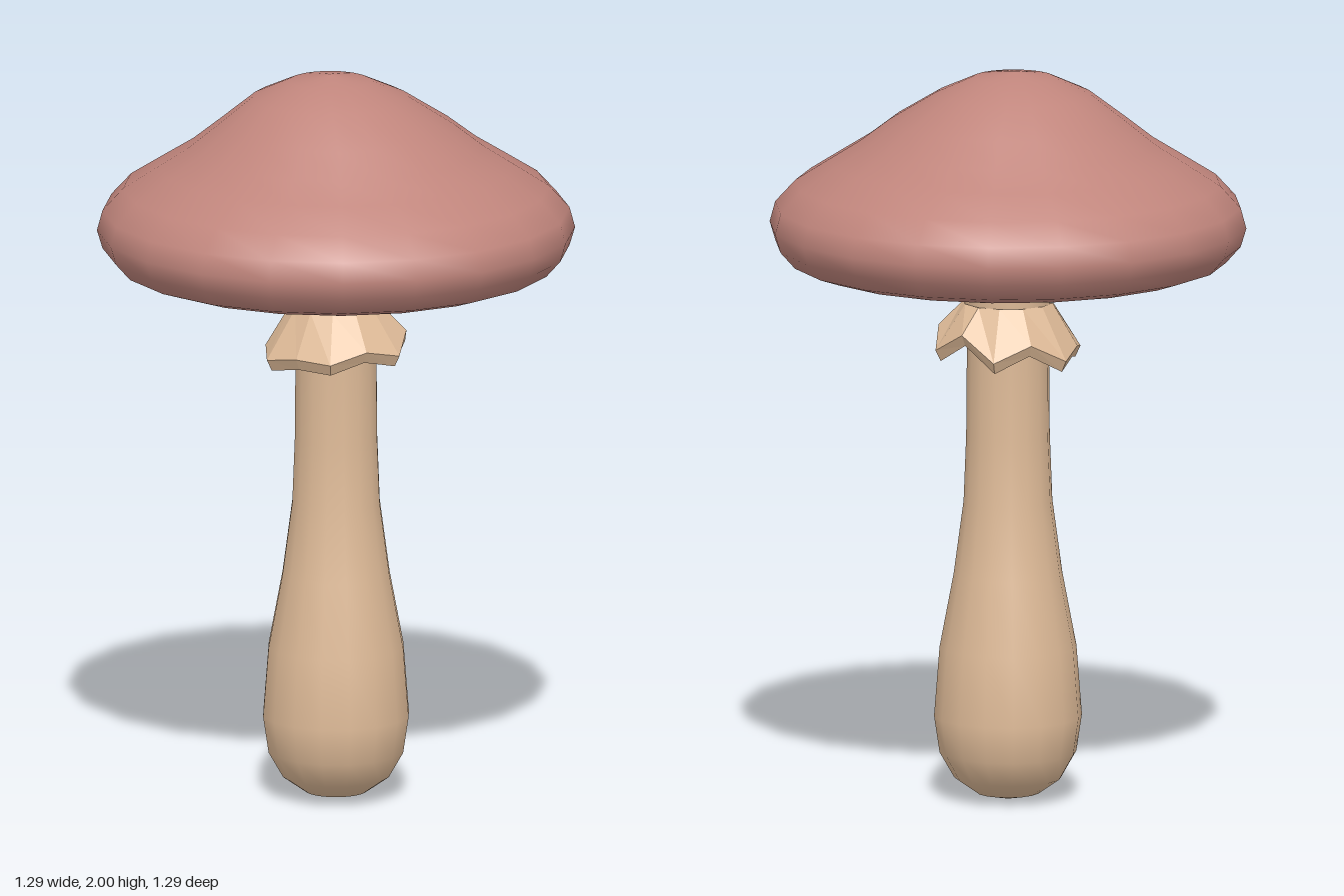
import * as THREE from 'three';

const capMaterial = new THREE.MeshStandardMaterial({ name: 'dusty red', color: 0xc0857c });
const stemMaterial = new THREE.MeshStandardMaterial({ name: 'warm cream', color: 0xdfbb98 });

const lathe = (profile, sides) =>
  new THREE.LatheGeometry(profile.map(([r, y]) => new THREE.Vector2(r, y)), sides);

// Applies a rule to each vertex of a geometry
function moveVertices(geometry, rule) {
  const pos = geometry.attributes.position;
  const v = new THREE.Vector3();
  for (let i = 0; i < pos.count; i++) {
    v.fromBufferAttribute(pos, i);
    rule(v);
    pos.setXYZ(i, v.x, v.y, v.z);
  }
  return geometry;
}

function addPart(group, name, geometry, material) {
  const mesh = new THREE.Mesh(geometry, material);
  mesh.name = name;
  group.add(mesh);
}

export function createModel() {
  const group = new THREE.Group();
  group.name = 'mushroom';

  // Cap: hollow underside, rolled lip, then the bell-shaped top with a slightly leaning tip
  const cap = lathe([
    [0.08, 1.54], [0.17, 1.55], [0.28, 1.535], [0.4, 1.515], [0.46, 1.495], [0.49, 1.465],
    [0.53, 1.46], [0.59, 1.48], [0.63, 1.525], [0.645, 1.575], [0.63, 1.63], [0.575, 1.69],
    [0.48, 1.75], [0.4, 1.8], [0.32, 1.862], [0.21, 1.938], [0.11, 1.983], [0, 2],
  ], 20);
  moveVertices(cap, (v) => { v.x -= 0.02 * THREE.MathUtils.smoothstep(v.y, 1.84, 1.95); });
  addPart(group, 'cap', cap, capMaterial);

  // Stem: rounded bulb tapering to a slim neck
  const stem = lathe([
    [0, 0], [0.085, 0.018], [0.145, 0.06], [0.185, 0.13], [0.2, 0.23], [0.185, 0.42],
    [0.147, 0.62], [0.12, 0.82], [0.113, 1], [0.111, 1.25], [0.118, 1.37], [0.123, 1.47],
    [0.123, 1.57],
  ], 16);
  addPart(group, 'stem', stem, stemMaterial);

  // Skirt: flared, faceted ring with a zigzag hem, a little higher at the back
  const skirt = lathe([[0.108, 1.33], [0.192, 1.207], [0.207, 1.237], [0.122, 1.365]], 12);
  moveVertices(skirt, (v) => {
    if (v.y > 1.3) return;
    const angle = Math.atan2(v.x, v.z);
    const raised = Math.round(angle / (Math.PI / 6)) % 2 === 0;
    v.y += 0.012 * Math.sin(angle);
    if (raised) {
      v.y += 0.036 - 0.025 * Math.cos(angle);
      v.x *= 0.92;
      v.z *= 0.92;
    }
  });
  const facetedSkirt = skirt.toNonIndexed();
  facetedSkirt.computeVertexNormals();
  addPart(group, 'skirt', facetedSkirt, stemMaterial);

  return group;
}
